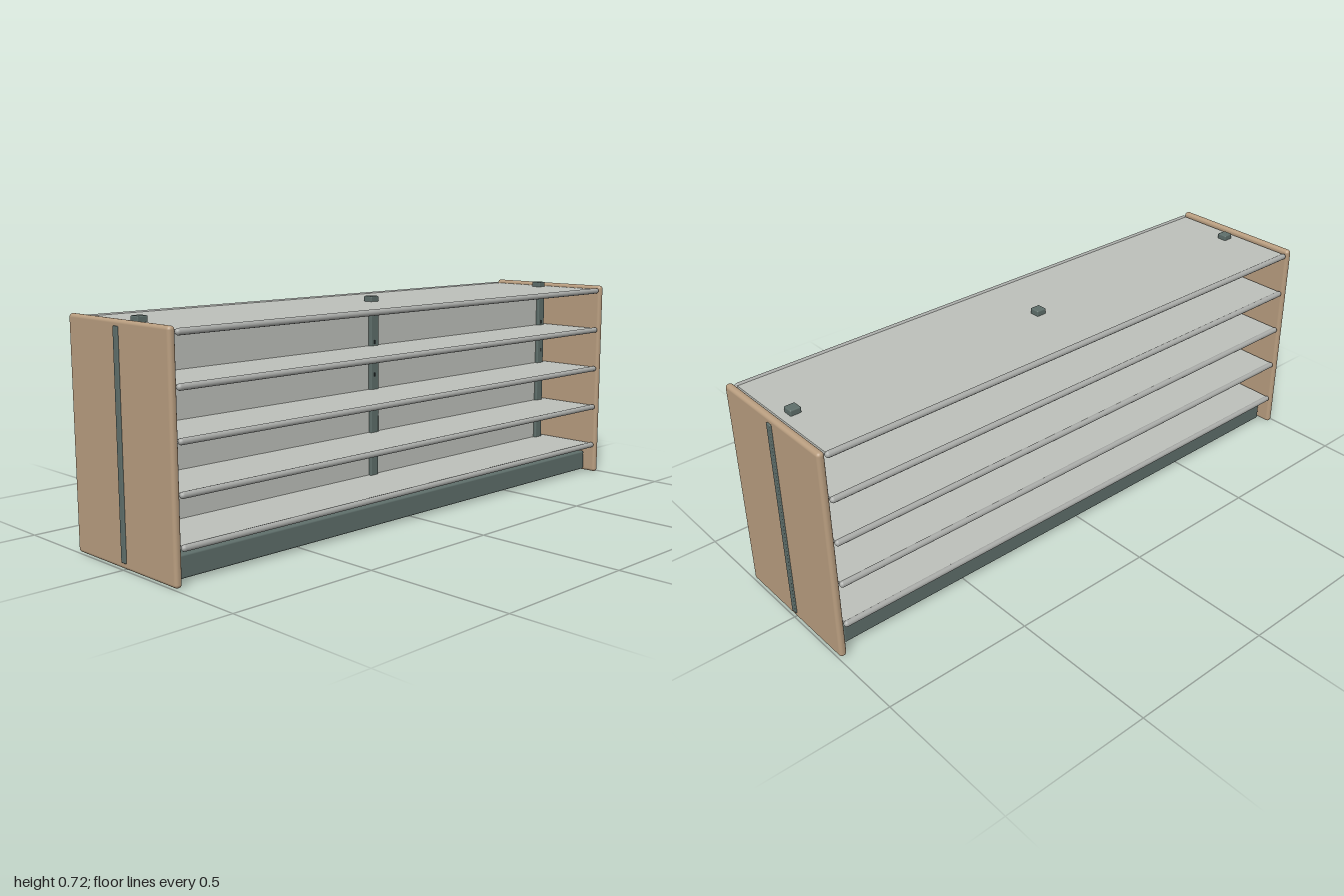
import * as THREE from 'three';
import { RoundedBoxGeometry } from 'three/addons/geometries/RoundedBoxGeometry.js';

export function createModel() {
  const mat = (name, color) => {
    const m = new THREE.MeshStandardMaterial({ color });
    m.name = name;
    return m;
  };
  const wood = mat('tan wood', 0xb89d7f);
  const steel = mat('dark green steel', 0x5e6e6a);
  const sheet = mat('pale grey sheet', 0xbdc0ba);
  const edge = mat('grey edge rail', 0xaaaca9);
  const slotDark = mat('dark slot', 0x303837);

  const model = new THREE.Group();
  model.name = 'shelvingUnit';
  const add = (name, geometry, material, x, y, z) => {
    const m = new THREE.Mesh(geometry, material);
    m.name = name;
    m.position.set(x, y, z);
    model.add(m);
    return m;
  };
  const box = (w, h, d) => new THREE.BoxGeometry(w, h, d);
  const rounded = (w, h, d, r) => new RoundedBoxGeometry(w, h, d, 3, r);

  // Plinth
  add('base', rounded(0.42, 0.07, 1.91, 0.006), steel, 0, 0.045, 0);

  // Shelves with a rounded rail along each long edge
  for (const y of [0.108, 0.256, 0.404, 0.552, 0.7]) {
    add('shelf', box(0.476, 0.012, 1.925), sheet, 0, y, 0);
    for (const side of [-1, 1]) {
      const rail = add('shelfRail', new THREE.CapsuleGeometry(0.01, 1.915, 4, 12), edge, side * 0.239, y, 0);
      rail.rotation.x = Math.PI / 2;
    }
  }

  // Central divider
  add('divider', box(0.012, 0.59, 1.82), sheet, 0, 0.375, 0);

  // Posts through the shelves, with slots on both sides
  for (const z of [-0.918, 0, 0.918]) {
    add('post', rounded(0.036, 0.654, 0.036, 0.004), steel, 0, 0.397, z);
    for (const y of [0.205, 0.355, 0.46, 0.57]) {
      for (const side of [-1, 1]) {
        add('postSlot', box(0.002, 0.014, 0.008), slotDark, side * 0.0182, y, z);
      }
    }
  }

  // End panels with a vertical inlay strip
  for (const side of [-1, 1]) {
    add('endPanel', rounded(0.496, 0.718, 0.024, 0.011), wood, 0, 0.359, side * 0.983);
    add('endStrip', rounded(0.022, 0.68, 0.01, 0.003), steel, 0, 0.36, side * 0.995);
  }
  return model;
}
